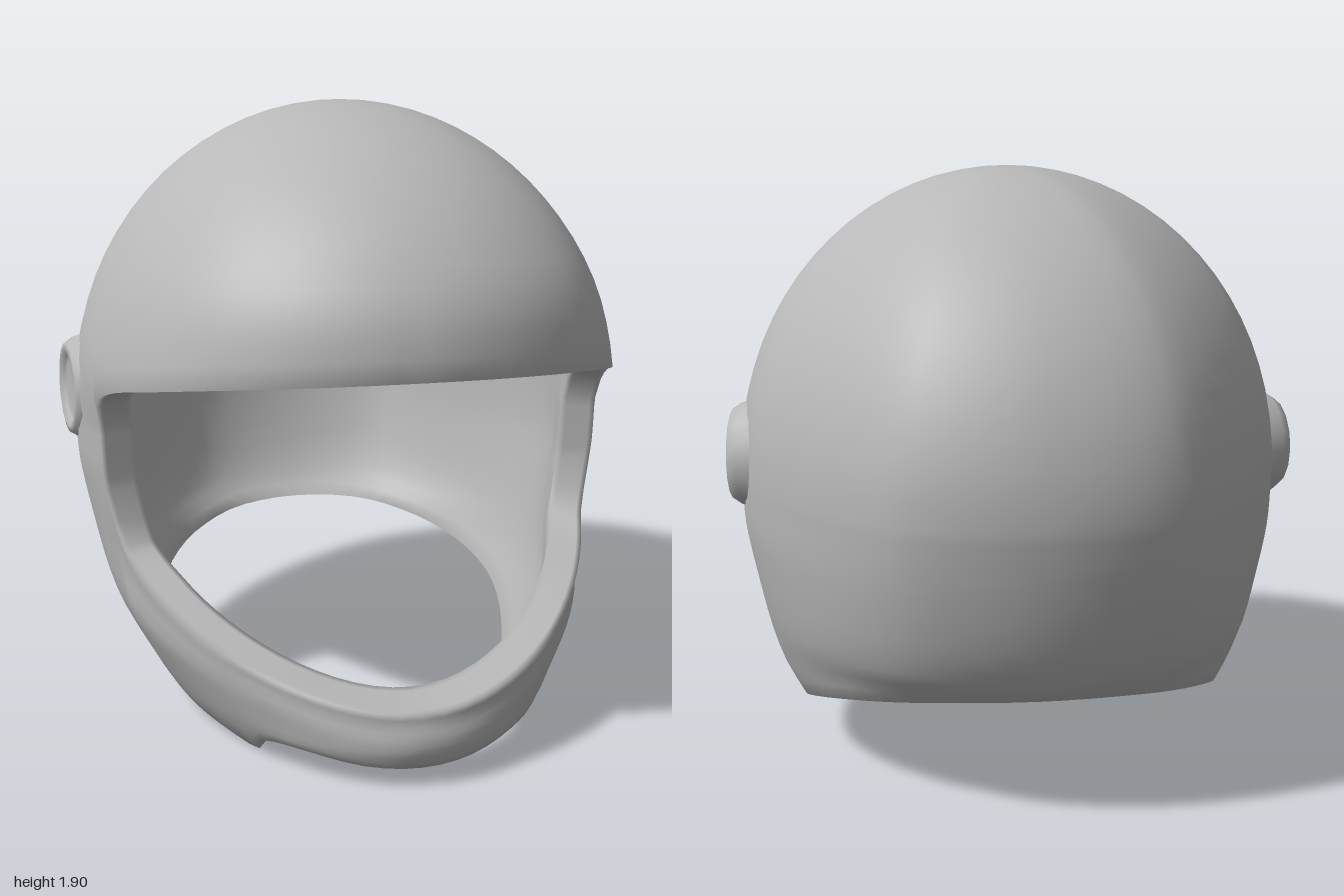
import * as THREE from 'three';

const { clamp, lerp, smoothstep } = THREE.MathUtils;

// Smooth lookup without overshoot in a short list of [key, value] pairs with rising keys
function look(table, k) {
  const last = table.length - 1;
  if (k <= table[0][0]) return table[0][1];
  if (k >= table[last][0]) return table[last][1];
  const grade = (i) => (table[i + 1][1] - table[i][1]) / (table[i + 1][0] - table[i][0]);
  const slope = (i) => {
    if (i === 0) return grade(0);
    if (i === last) return grade(last - 1);
    const a = grade(i - 1), b = grade(i);
    return a * b <= 0 ? 0 : 2 * a * b / (a + b);
  };
  const i = table.findIndex(([key]) => key > k) - 1;
  const [k0, v0] = table[i], [k1, v1] = table[i + 1];
  const w = k1 - k0, t = (k - k0) / w, s = 1 - t;
  return v0 * s * s * (1 + 2 * t) + v1 * t * t * (3 - 2 * t) + w * t * s * (slope(i) * s - slope(i + 1) * t);
}

// Half width, back depth and front depth below the equator, by height
const WIDTH = [[0, 0.555], [0.05, 0.605], [0.19, 0.69], [0.34, 0.765], [0.57, 0.825], [0.8, 0.865], [0.95, 0.87]];
const BACK = [[0, 0.65], [0.375, 0.79], [0.43, 0.85], [0.57, 0.92], [0.79, 0.975], [0.95, 1]];
const FRONT = [[0, 0.95], [0.06, 0.98], [0.11, 1]];
// Opening top edge, opening bottom edge and neck edge heights, by cos(angle)
const EYE_TOP = [[0.235, 0.93], [0.25, 0.99], [0.33, 1.045], [0.68, 1.126], [1, 1.185]];
const EYE_LOW = [[0.235, 0.72], [0.27, 0.57], [0.32, 0.53], [1, 0.225]];
const NECK = [[-1, 0.38], [-0.95, 0.37], [-0.85, 0.345], [-0.66, 0.302], [0, 0.145], [0.33, 0.04], [0.5, 0.03],
  [0.64, 0], [0.69, 0.015], [0.74, 0.08], [0.84, 0.09], [1, 0.06]];
// Plan correction that fills out the brow and shapes the rear quarters, by angle in degrees
const PLAN = [[0, 1.06], [35, 1.05], [70, 1], [95, 1], [131, 0.945], [145, 0.98], [160, 1.1], [180, 1.12]];

const TOP = 1.9, EQUATOR = 0.95;
const UPPER = 18, MIDDLE = 6, LOWER = 9;
const EDGE = Math.acos(0.235);

// Point of the outer skin at an angle around the vertical axis and a height
function skin(angle, y) {
  const u = clamp((y - EQUATOR) / (TOP - EQUATOR), 0, 1);
  const dome = Math.sqrt(1 - u * u);
  const c = Math.cos(angle);
  let depth;
  if (c < 0) depth = look(BACK, y) * dome;
  else if (y < EQUATOR) depth = look(FRONT, y);
  else depth = dome < 1e-4 ? 0 : Math.pow(Math.pow(1.09 * dome, -40) + 1, -1 / 40);
  // The correction is weaker towards the neck and narrows the chin
  let strength = 1;
  if (c < 0) strength = lerp(0.35, 1, smoothstep(y, 0.35, 0.9));
  else if (y < EQUATOR) strength = -0.5;
  const plan = 1 + strength * (look(PLAN, Math.abs(angle) * 180 / Math.PI) - 1);
  return new THREE.Vector3(look(WIDTH, y) * dome * Math.sin(angle) * plan, y, depth * c);
}

function shellGeometry() {
  // Column angles, closer together at the rear edge of the opening
  const half = [];
  for (let i = 0; i <= 20; i++) half.push(EDGE * (1 - Math.pow(1 - i / 20, 1.4)));
  for (let i = 1; i <= 18; i++) half.push(EDGE + (Math.PI - EDGE) * i / 18);
  const angles = [...half, ...half.slice(1, -1).reverse().map((a) => -a)];
  const n = angles.length, rows = UPPER + MIDDLE + LOWER;

  // Side outline of the opening, used to sink the border around it
  const outline = [];
  for (let c = 0.235; c <= 1; c += 0.009) outline.push([c, look(EYE_TOP, c)], [c, look(EYE_LOW, c)]);
  for (let y = 0.73; y < 0.93; y += 0.02) outline.push([0.235, y]);

  const outer = [new THREE.Vector3(0, TOP, 0)], inner = [new THREE.Vector3(0, TOP - 0.1, 0)];
  for (let r = 1; r <= rows; r++) {
    for (const a of angles) {
      const c = Math.cos(a), t = look(EYE_TOP, c), l = look(EYE_LOW, c), b = look(NECK, c);
      const low = (r - UPPER - MIDDLE) / LOWER;
      let y;
      if (r <= UPPER) y = t + (TOP - t) * Math.sin((1 - r / UPPER) * Math.PI / 2);
      else if (low <= 0) y = t + (l - t) * (r - UPPER) / MIDDLE;
      else y = l + (b - l) * low;
      const p = skin(a, y);
      // The border is wide and deep at the cheeks, shallow at the chin, and fades out at the brim
      const d = Math.min(...outline.map(([z, h]) => Math.hypot(z - p.z, h - p.y)));
      const cheek = clamp((0.8 - p.z) / 0.5, 0, 1);
      const reach = 0.09 + 0.1 * cheek;
      const depth = (0.015 + 0.02 * cheek) * (1 - smoothstep(p.y, 0.9, 1.1));
      const sink = depth * (1 - smoothstep(d, reach * 0.3, reach));
      p.x *= 1 - sink;
      p.z *= 1 - sink;
      outer.push(p);
      // Lining, raised a little behind the chin lip
      const lift = low < 0 ? 0 : 0.03 * (1 - low) * smoothstep(c, 0.235, 0.5);
      inner.push(new THREE.Vector3(p.x * 0.87, y - 0.1 * smoothstep(y, 1.2, TOP) + lift, p.z * 0.87));
    }
  }
  const points = [...outer, ...inner];
  const count = outer.length, index = [], edges = new Map();

  const id = (r, j) => (r === 0 ? 0 : 1 + (r - 1) * n + (j % n));
  const face = (a, b, c) => {
    if (a === b || b === c || a === c) return;
    index.push(a, b, c, a + count, c + count, b + count);
    for (const [p, q] of [[a, b], [b, c], [c, a]]) {
      if (!edges.delete(q + '_' + p)) edges.set(p + '_' + q, [p, q]);
    }
  };
  for (let r = 0; r < rows; r++) {
    for (let j = 0; j < n; j++) {
      const front = Math.max(Math.abs(angles[j]), Math.abs(angles[(j + 1) % n])) < EDGE + 1e-4;
      if (front && r >= UPPER && r < UPPER + MIDDLE) continue;
      const a = id(r, j), b = id(r + 1, j), c = id(r + 1, j + 1), d = id(r, j + 1);
      // Split each quad along its shorter diagonal
      if (points[a].distanceTo(points[c]) < points[b].distanceTo(points[d])) {
        face(a, b, c);
        face(a, c, d);
      } else {
        face(a, b, d);
        face(b, c, d);
      }
    }
  }

  // Rounded rim joining the outer skin to the lining along every open edge
  const rims = new Map();
  const rim = (v) => {
    if (!rims.has(v)) {
      const mids = [0.15, 0.85].map((t) => points.push(points[v].clone().lerp(points[v + count], t)) - 1);
      rims.set(v, [v, ...mids, v + count]);
    }
    return rims.get(v);
  };
  for (const [p, q] of edges.values()) {
    const A = rim(p), B = rim(q);
    for (let k = 0; k < 3; k++) index.push(B[k], A[k], A[k + 1], B[k], A[k + 1], B[k + 1]);
  }
  const geometry = new THREE.BufferGeometry().setFromPoints(points);
  geometry.setIndex(index);
  geometry.computeVertexNormals();
  return geometry;
}

export function createModel() {
  const model = new THREE.Group();
  model.name = 'helmet';
  const grey = new THREE.MeshStandardMaterial({ color: 0xb8b8b8 });
  grey.name = 'grey';

  const shell = new THREE.Mesh(shellGeometry(), grey);
  shell.name = 'shell';
  model.add(shell);

  // Round hinge bosses with a dished centre
  const profile = [[0.185, -0.07], [0.165, 0], [0.145, 0.03], [0.125, 0.034], [0.105, 0.02], [0.095, 0.012], [0, 0.012]];
  const boss = new THREE.LatheGeometry(profile.map(([x, y]) => new THREE.Vector2(x, y)), 16);
  for (const side of [1, -1]) {
    const hinge = new THREE.Group();
    hinge.name = side > 0 ? 'leftHinge' : 'rightHinge';
    const mesh = new THREE.Mesh(boss, grey);
    mesh.name = 'hingeBoss';
    mesh.rotation.z = -side * Math.PI / 2;
    hinge.add(mesh);
    hinge.position.set(side * 0.86, 0.99, -0.065);
    hinge.rotation.y = -side * 0.12;
    model.add(hinge);
  }
  return model;
}
